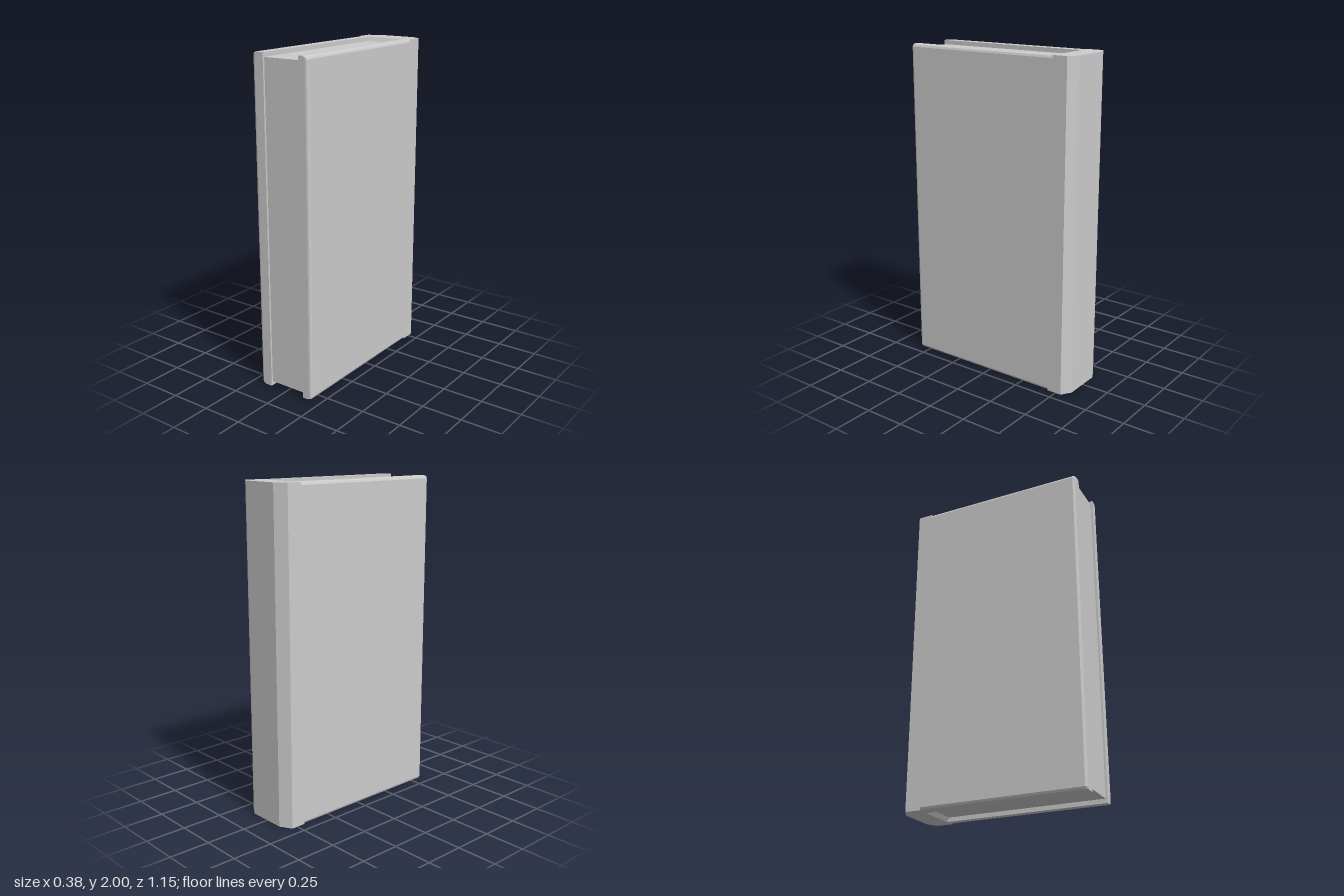
import * as THREE from 'three';
import { ConvexGeometry } from 'three/addons/geometries/ConvexGeometry.js';

const OUT = 0.188, LEFT = 0.127, RIGHT = -0.115; // outer half width, inner faces of the boards
const BACK = -0.577, FRONT = 0.577, HINGE = -0.44;
const V = (x, y, z) => new THREE.Vector3(x, y, z);

export function createModel() {
  const group = new THREE.Group();
  const material = new THREE.MeshStandardMaterial({ color: 0xcccccc, flatShading: true });
  const add = (name, geometry) => {
    const mesh = new THREE.Mesh(geometry, material);
    mesh.name = name;
    group.add(mesh);
    return mesh;
  };

  // Cover boards: worn top and bottom outer edges, rounded front corner
  const edge = [[0, 0.018], [0.005, 0.005], [0.017, 0]]; // height, inset
  const coverBoard = (name, side, inner) => {
    const points = [];
    for (const [h, inset] of edge) {
      for (const y of [h, 2 - h]) {
        const x = OUT - inset;
        points.push(
          V(inner, y, HINGE), V(inner, y, FRONT), V(side * x, y, HINGE - 0.005),
          V(side * x, y, FRONT - 0.014),
          V(side * (x - 0.004), y, FRONT - 0.004),
          V(side * (x - 0.014), y, FRONT)
        );
      }
    }
    add(name, new ConvexGeometry(points));
  };
  coverBoard('leftCover', 1, LEFT);
  coverBoard('rightCover', -1, RIGHT);

  // Spine: bevelled back corners and a sloped lip against the pages
  const spine = [];
  for (const y of [0, 2]) {
    for (const [x, z] of [[RIGHT, BACK], [LEFT, BACK], [OUT, -0.537], [OUT, -0.445],
      [LEFT, HINGE], [RIGHT, HINGE], [-OUT, -0.445], [-OUT, -0.537]]) {
      spine.push(V(x, y, z));
    }
  }
  for (const y of [0.026, 1.974]) spine.push(V(LEFT, y, -0.425), V(RIGHT, y, -0.425));
  add('spine', new ConvexGeometry(spine));

  // Page block, set back from the cover edges
  const pages = add('pages', new THREE.BoxGeometry(LEFT - RIGHT, 1.948, 0.995));
  pages.position.set((LEFT + RIGHT) / 2, 1, 0.0675);

  return group;
}
